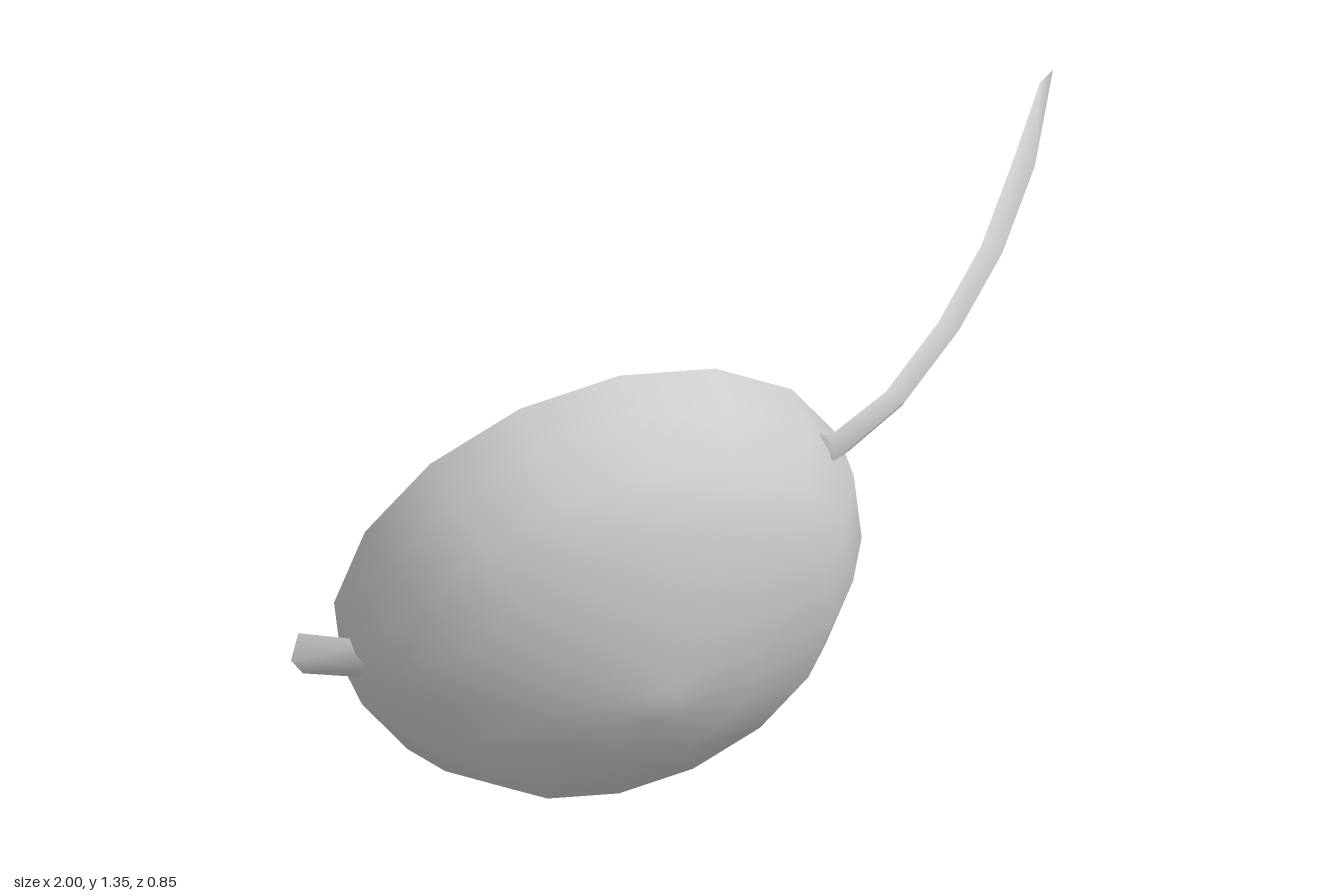
import * as THREE from 'three';

// Open strip with a bent (V-shaped) section: each row is [top, ridge, bottom]
function channel(rows, material, name) {
  const index = [];
  const n = rows[0].length;
  for (let i = 0; i < rows.length - 1; i++) {
    for (let j = 0; j < n - 1; j++) {
      const a = i * n + j, b = a + 1, c = a + n, d = c + 1;
      index.push(a, b, c, b, d, c);
    }
  }
  const geo = new THREE.BufferGeometry();
  geo.setAttribute('position', new THREE.Float32BufferAttribute(rows.flat(2), 3));
  geo.setIndex(index);
  geo.computeVertexNormals();
  const mesh = new THREE.Mesh(geo, material);
  mesh.name = name;
  return mesh;
}

export function createModel() {
  const group = new THREE.Group();
  group.name = 'ladle';

  const metal = new THREE.MeshStandardMaterial({ color: 0xcccccc, side: THREE.DoubleSide });
  metal.name = 'grey metal';

  // Bowl: thin 16-sided cup, its opening turned to the back, left and up
  const profile = [[0, -0.475], [0.05, -0.475], [0.24, -0.437], [0.455, -0.342], [0.545, -0.235], [0.607, -0.12], [0.612, 0]]
    .map(([r, y]) => new THREE.Vector2(r, y));
  const bowl = new THREE.Mesh(new THREE.LatheGeometry(profile, 16), metal);
  bowl.name = 'bowl';
  const axis = new THREE.Vector3(0.43, 0.31, -0.848).normalize();
  const up = new THREE.Vector3(0, 1, 0).addScaledVector(axis, -axis.y).normalize();
  const side = new THREE.Vector3().crossVectors(axis, up);
  bowl.quaternion.setFromRotationMatrix(new THREE.Matrix4().makeBasis(side, axis, up));
  bowl.position.set(-0.34, 0.605, -0.097);
  group.add(bowl);

  // Handle: curved channel whose root pokes through the bowl wall
  const section = [[-0.03, 0.03, -0.01], [0.005, 0.008, 0.022], [0.025, -0.035, -0.012]];
  const path = [
    [0.21, 0.933, 0.335], [0.41, 1.01, 0.31], [0.6, 1.105, 0.267], [0.79, 1.213, 0.192],
  ];
  const root = [[0.005, 0.925, 0.315], [0, 0.87, 0.335], [0.08, 0.845, 0.305]];
  const tip = [[0.92, 1.34, 0.115], [0.98, 1.34, 0.1], [1, 1.295, 0.07]];
  group.add(channel([
    root.map(([x, y, z]) => [x - 0.02, y, z - 0.045]),
    root,
    ...path.map((p) => section.map((o) => p.map((v, k) => v + o[k]))),
    tip,
  ], metal, 'handle'));

  // Stub: short channel through the opposite wall
  group.add(channel([
    [[-0.97, 0.55, -0.405], [-1, 0.493, -0.4], [-0.96, 0.44, -0.4]],
    [[-0.89, 0.555, -0.26], [-0.91, 0.5, -0.24], [-0.88, 0.445, -0.275]],
  ], metal, 'stub'));

  return group;
}
